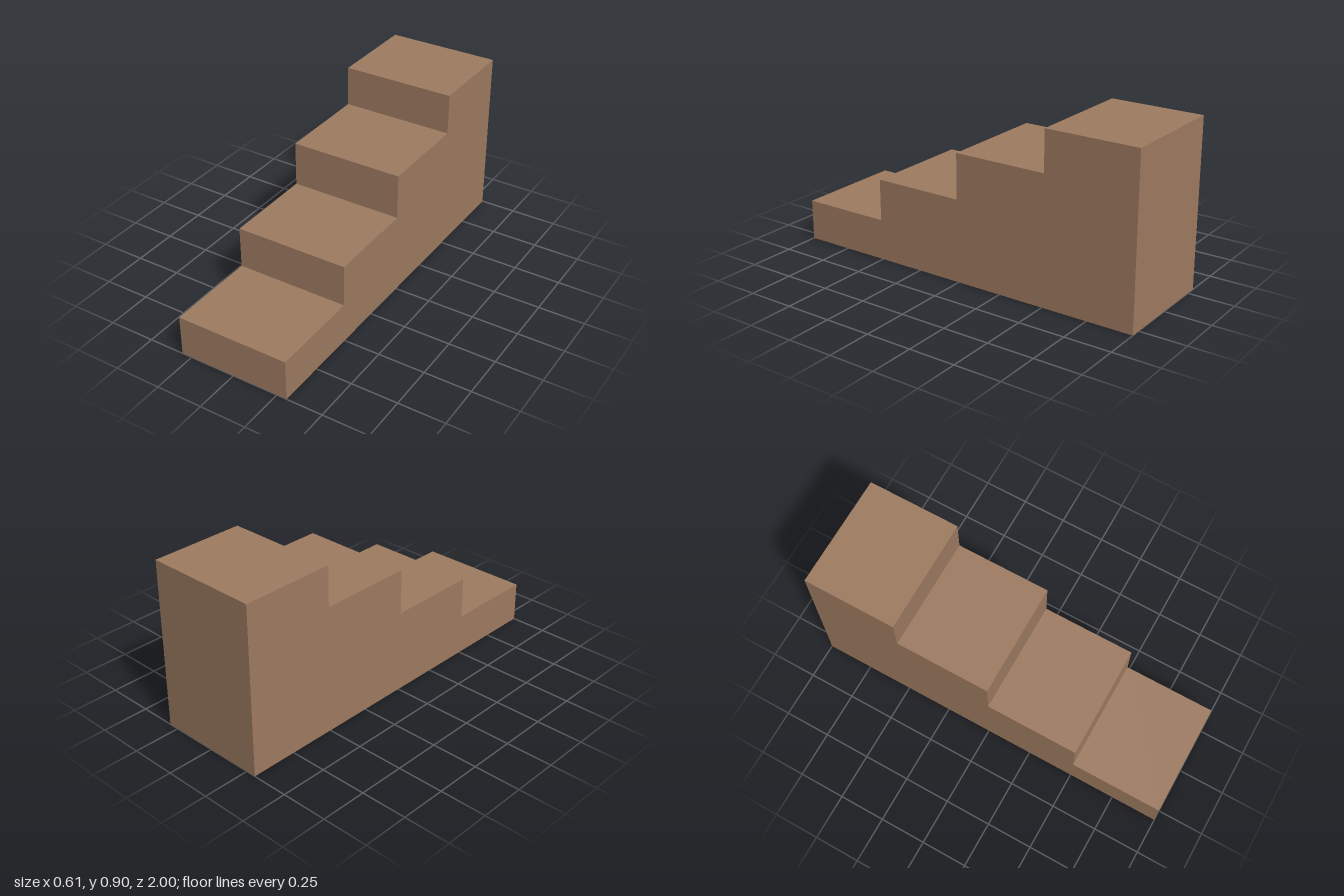
import * as THREE from 'three';

export function createModel() {
  const group = new THREE.Group();
  group.name = 'staircase';

  const brown = new THREE.MeshStandardMaterial({ color: 0xa07c62 });
  brown.name = 'brown';

  const width = 0.61;
  // Each step: front edge z and tread height, from lowest to highest
  const steps = [[1, 0.22], [0.505, 0.445], [0.007, 0.687], [-0.502, 0.905]];

  // Side profile: shape x is the model's z
  const profile = new THREE.Shape();
  profile.moveTo(-1, 0);
  profile.lineTo(1, 0);
  steps.forEach(([front, height], i) => {
    const back = i + 1 < steps.length ? steps[i + 1][0] : -1;
    profile.lineTo(front, height);
    profile.lineTo(back, height);
  });
  profile.closePath();

  // Solid block of steps, extruded across the width
  const geometry = new THREE.ExtrudeGeometry(profile, { depth: width, bevelEnabled: false });
  geometry.translate(0, 0, -width / 2);
  geometry.rotateY(-Math.PI / 2);

  const stairs = new THREE.Mesh(geometry, brown);
  stairs.name = 'steps';
  group.add(stairs);
  return group;
}
